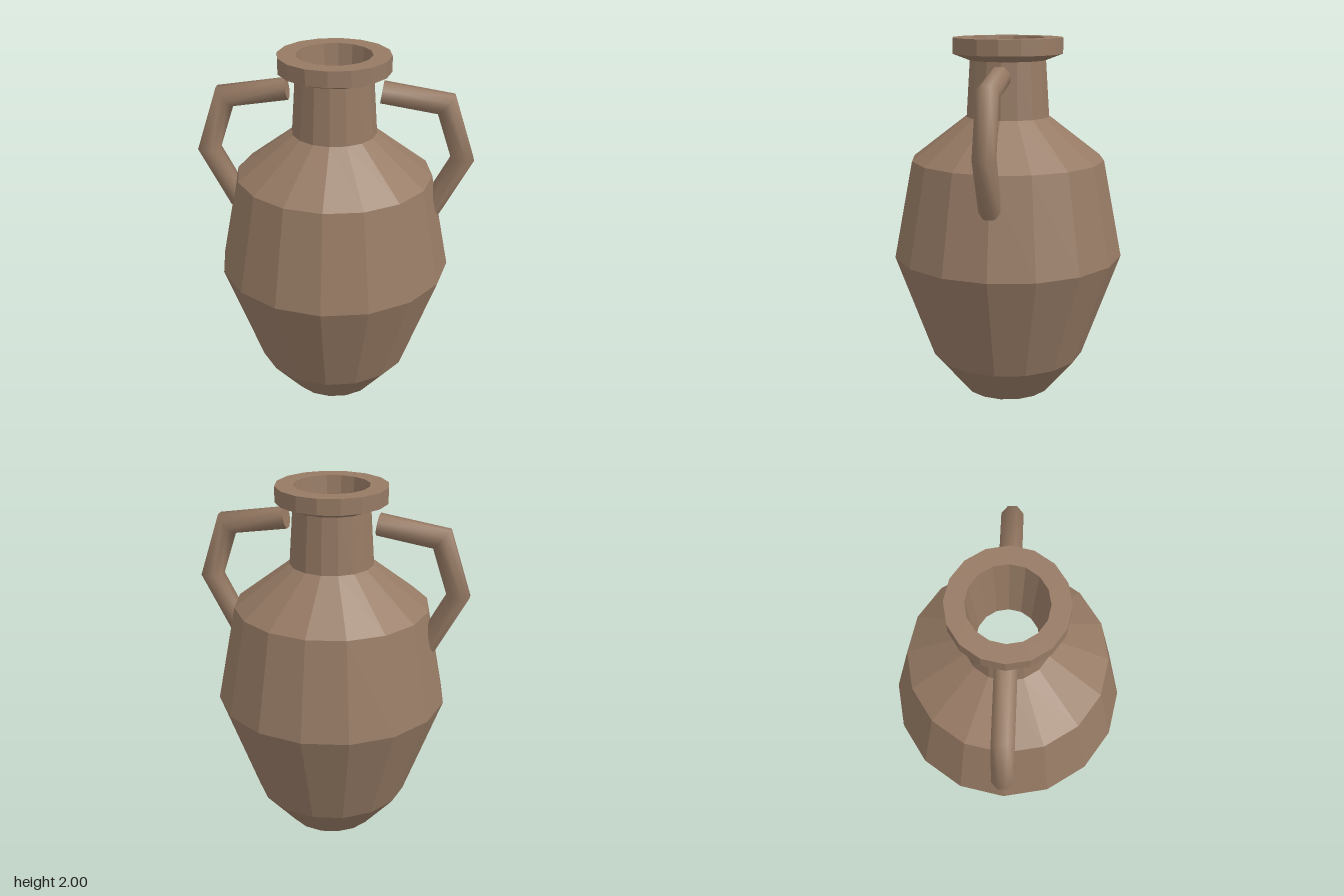
import * as THREE from 'three';

const V = (x, y) => new THREE.Vector2(x, y);
const SIDES = 16;

// Round bar with mitred corners, swept along points in the xy plane
function mitredBar(path, radius, sides) {
  const pos = [], index = [];
  path.forEach((p, i) => {
    const a = path[Math.max(i - 1, 0)], b = path[Math.min(i + 1, path.length - 1)];
    const dIn = (i ? p.clone().sub(a) : b.clone().sub(p)).normalize();
    const dOut = (b !== p ? b.clone().sub(p) : p.clone().sub(a)).normalize();
    const t = dIn.clone().add(dOut).normalize();
    const stretch = radius / t.dot(dIn);
    for (let j = 0; j < sides; j++) {
      const ang = ((j + 0.5) / sides) * Math.PI * 2;
      const c = Math.cos(ang) * stretch;
      pos.push(p.x - t.y * c, p.y + t.x * c, Math.sin(ang) * radius);
    }
  });
  for (let i = 0; i < path.length - 1; i++) {
    for (let j = 0; j < sides; j++) {
      const k = (j + 1) % sides, r = i * sides, s = r + sides;
      index.push(r + j, r + k, s + j, r + k, s + k, s + j);
    }
  }
  // End caps, with their own vertices so the rims stay sharp
  const last = (path.length - 1) * sides;
  for (const [ring, flip] of [[0, false], [last, true]]) {
    const base = pos.length / 3;
    pos.push(...pos.slice(ring * 3, (ring + sides) * 3));
    for (let j = 1; j < sides - 1; j++) {
      index.push(base, base + (flip ? j : j + 1), base + (flip ? j + 1 : j));
    }
  }
  const g = new THREE.BufferGeometry();
  g.setAttribute('position', new THREE.Float32BufferAttribute(pos, 3));
  g.setIndex(index);
  g.computeVertexNormals();
  return g;
}

export function createModel() {
  const group = new THREE.Group();
  const clay = new THREE.MeshStandardMaterial({ color: 0x967a64, flatShading: true });
  const smoothClay = new THREE.MeshStandardMaterial({ color: 0x967a64 });

  const add = (name, geometry, material) => {
    const mesh = new THREE.Mesh(geometry, material);
    mesh.name = name;
    group.add(mesh);
    return mesh;
  };

  // Base, belly and shoulder
  add('body', new THREE.LatheGeometry([
    V(0, 0), V(0.25, 0), V(0.43, 0.215), V(0.64, 0.805), V(0.535, 1.34), V(0.23, 1.575),
  ], SIDES), clay);

  // Neck, flared lip and the inside of the mouth
  add('neckAndLip', new THREE.LatheGeometry([
    V(0.23, 1.575), V(0.21, 1.88), V(0.302, 1.915), V(0.302, 2), V(0.203, 2), V(0.162, 1.575),
  ], SIDES), clay);

  // Pair of bent handles
  const handle = mitredBar([V(0.252, 1.805), V(0.59, 1.752), V(0.69, 1.45), V(0.53, 1.147)], 0.061, 8);
  add('leftHandle', handle, smoothClay);
  add('rightHandle', handle, smoothClay).rotation.y = Math.PI;

  return group;
}
